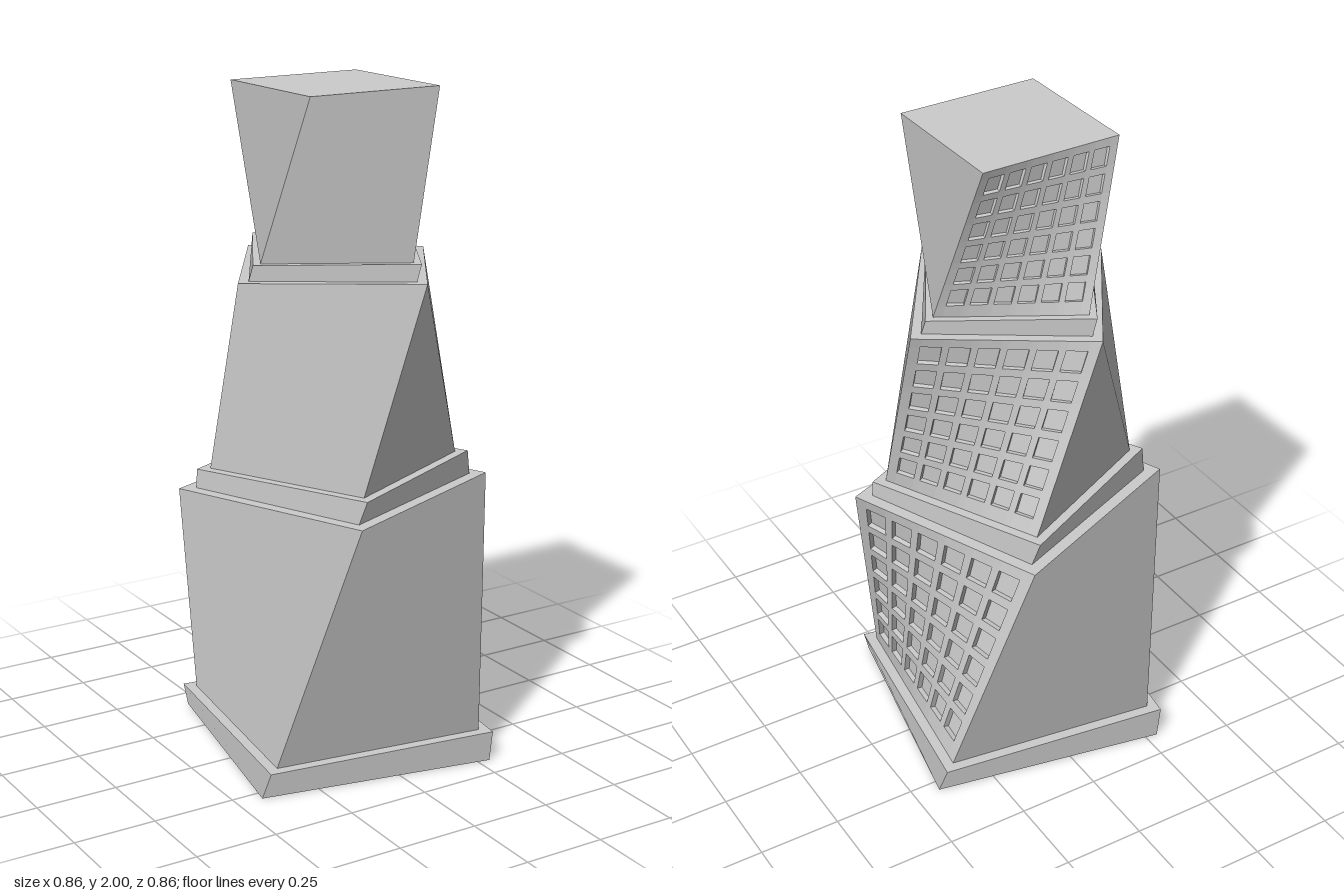
import * as THREE from 'three';

const material = new THREE.MeshStandardMaterial({ color: 0xcccccc });

// Collects quads; each quad is evenly shaded with the normal of its two diagonals.
class QuadBuilder {
  positions = [];
  normals = [];
  quad(a, b, c, d) {
    const n = c.clone().sub(a).cross(d.clone().sub(b)).normalize();
    for (const p of [a, b, d, b, c, d]) {
      this.positions.push(p.x, p.y, p.z);
      this.normals.push(n.x, n.y, n.z);
    }
  }
  mesh(name) {
    const g = new THREE.BufferGeometry();
    g.setAttribute('position', new THREE.Float32BufferAttribute(this.positions, 3));
    g.setAttribute('normal', new THREE.Float32BufferAttribute(this.normals, 3));
    const m = new THREE.Mesh(g, material);
    m.name = name;
    return m;
  }
}

// Four corners of a square with circumradius r, turned by deg, at height y
function square(r, deg, y) {
  return [0, 1, 2, 3].map((i) => {
    const a = THREE.MathUtils.degToRad(deg + 90 * (i - 1));
    return new THREE.Vector3(r * Math.cos(a), y, -r * Math.sin(a));
  });
}

// Alternating frame / window break points across a face
function breaks(start, end, count, fill) {
  const pitch = (end - start) / (count - 1 + fill);
  const list = [0];
  for (let i = 0; i < count; i++) list.push(start + i * pitch, start + (i + fill) * pitch);
  return [...list, 1];
}

// Twisted face with a grid of recessed windows
function windowFace(bl, br, tr, tl, depth) {
  const q = new QuadBuilder();
  const us = breaks(0.06, 0.94, 6, 0.74);
  const vs = breaks(0.08, 0.95, 6, 0.72);
  const point = (u, v, d = 0) => {
    const p = bl.clone().lerp(br, u).lerp(tl.clone().lerp(tr, u), v);
    if (d) {
      const du = br.clone().sub(bl).lerp(tr.clone().sub(tl), v);
      const dv = tl.clone().sub(bl).lerp(tr.clone().sub(br), u);
      p.addScaledVector(du.cross(dv).normalize(), -d);
    }
    return p;
  };
  for (let i = 0; i < us.length - 1; i++) {
    for (let j = 0; j < vs.length - 1; j++) {
      const ring = [[i, j], [i + 1, j], [i + 1, j + 1], [i, j + 1]];
      const outer = ring.map(([a, b]) => point(us[a], vs[b]));
      if (i % 2 && j % 2) {
        const inner = ring.map(([a, b]) => point(us[a], vs[b], depth));
        q.quad(...inner);
        for (let k = 0; k < 4; k++) {
          const n = (k + 1) % 4;
          q.quad(outer[k], outer[n], inner[n], inner[k]);
        }
      } else q.quad(...outer);
    }
  }
  return q.mesh('windowFace');
}

// Twisted square block; optionally one side carries windows
function block(name, r, y0, y1, a0, a1, windowDepth = 0) {
  const group = new THREE.Group();
  group.name = name;
  const b = square(r, a0, y0);
  const t = square(r, a1, y1);
  const q = new QuadBuilder();
  for (let i = windowDepth ? 1 : 0; i < 4; i++) {
    const n = (i + 1) % 4;
    q.quad(b[i], b[n], t[n], t[i]);
  }
  q.quad(...t);
  q.quad(b[3], b[2], b[1], b[0]);
  group.add(q.mesh('walls'));
  if (windowDepth) group.add(windowFace(b[0], b[1], t[1], t[0], windowDepth));
  return group;
}

export function createModel() {
  const model = new THREE.Group();
  model.name = 'twistedTower';
  model.add(
    // Thin plates under each storey block
    block('basePlate', 0.51, 0, 0.08, 34.3, 37.5),
    block('lowerBlock', 0.465, 0.08, 0.815, 37.5, 68, 0.016),
    block('middlePlate', 0.414, 0.815, 0.88, 68, 71.3),
    block('middleBlock', 0.374, 0.88, 1.475, 71.3, 102.4, 0.014),
    block('upperPlate', 0.334, 1.475, 1.523, 102.4, 105.5),
    block('upperBlock', 0.304, 1.523, 2, 105.5, 136, 0.012),
  );
  return model;
}
